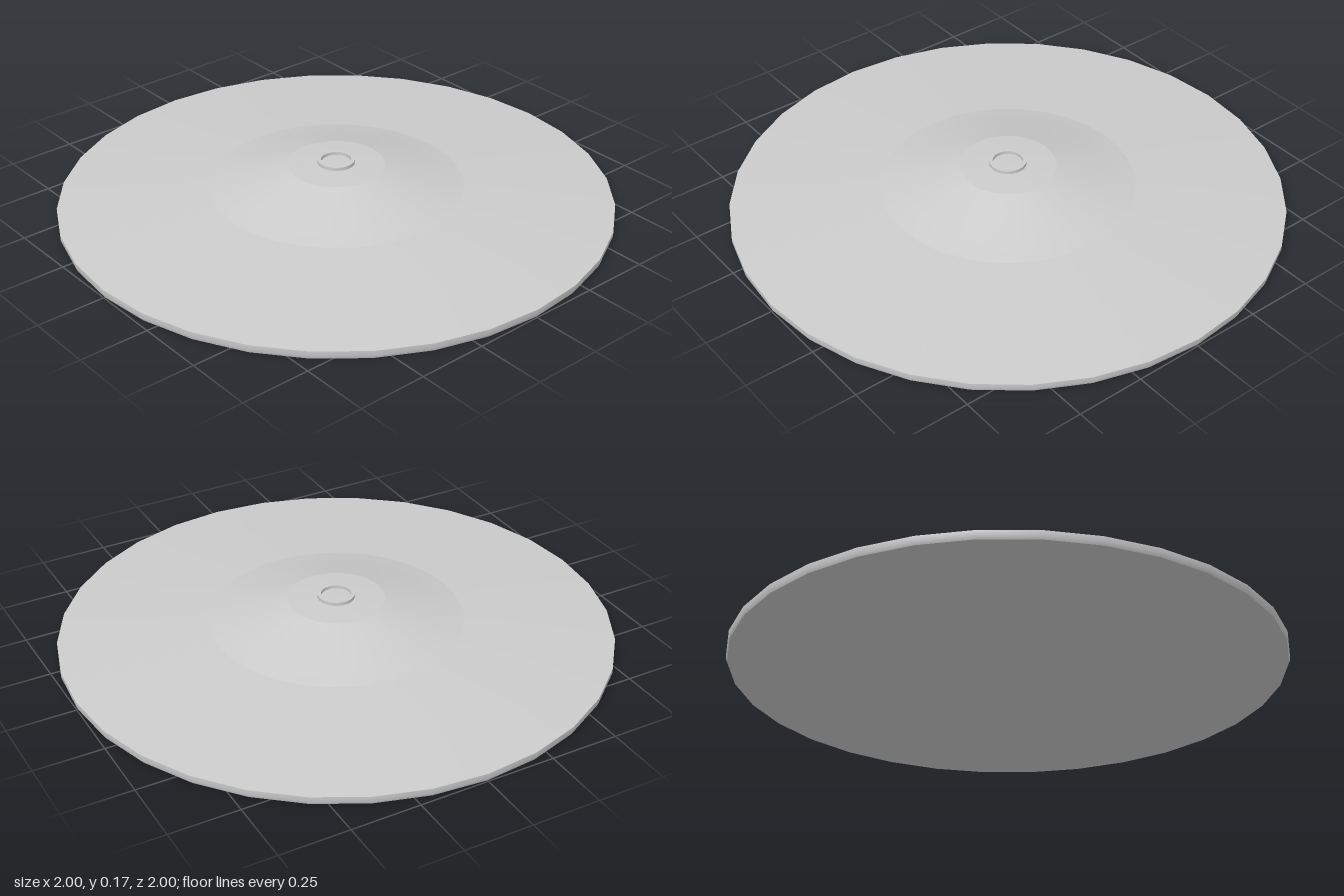
import * as THREE from 'three';

const SEGMENTS = 32;
const material = new THREE.MeshStandardMaterial({ color: 0xcccccc });

// Revolve a profile of [radius, height] points, listed from underside to top
function lathe(name, profile) {
  const points = profile.map(([r, y]) => new THREE.Vector2(r, y));
  const mesh = new THREE.Mesh(new THREE.LatheGeometry(points, SEGMENTS), material);
  mesh.name = name;
  return mesh;
}

export function createModel() {
  const group = new THREE.Group();
  group.name = 'cymbal';

  // Flat underside and thin outer edge
  group.add(lathe('underside', [[0, 0], [0.995, 0]]));
  group.add(lathe('rim', [[0.995, 0], [1, 0.012], [1, 0.03]]));

  // Gently sloping bow rising into the bell
  group.add(lathe('bow', [[1, 0.03], [0.46, 0.076]]));
  group.add(lathe('bell', [[0.46, 0.076], [0.37, 0.096], [0.175, 0.152]]));
  group.add(lathe('crown', [[0.175, 0.152], [0.06, 0.158], [0, 0.158]]));

  // Small raised collar around the mounting hole
  const collar = new THREE.Group();
  collar.name = 'collar';
  collar.add(lathe('collarOuter', [[0.067, 0.154], [0.067, 0.17]]));
  collar.add(lathe('collarTop', [[0.067, 0.17], [0.054, 0.17]]));
  collar.add(lathe('collarInner', [[0.054, 0.17], [0.054, 0.156]]));
  group.add(collar);

  return group;
}
